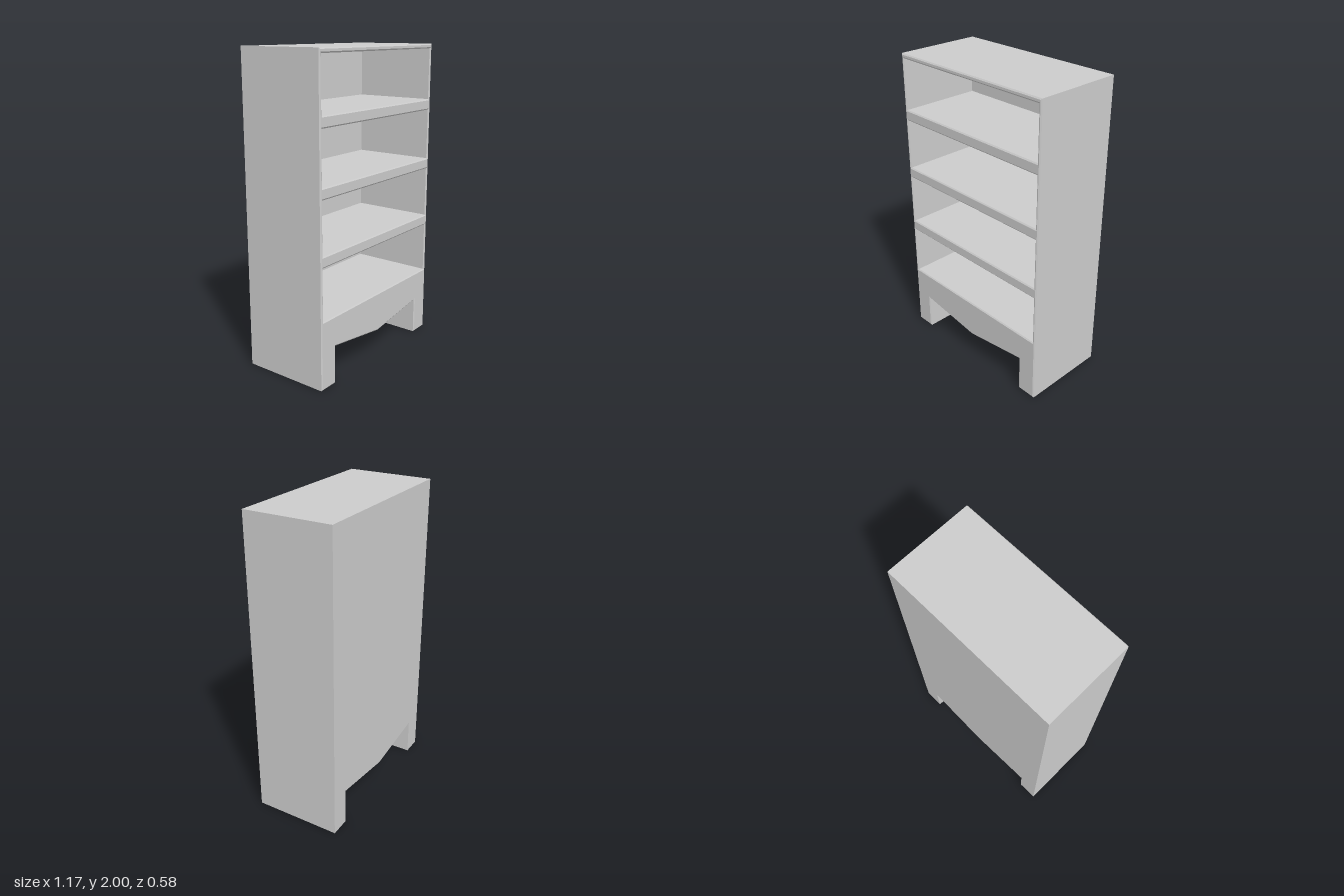
import * as THREE from 'three';

const HALF_W = 0.585, HEIGHT = 2, FRONT = 0.29, BACK = -0.29, PANEL = 0.03;
const BEVEL = 0.008, BEVEL_DEPTH = 0.006;

// Cabinet silhouette with square feet and a pointed apron between them
function outline() {
  return new THREE.Shape([
    [-HALF_W, 0], [-0.452, 0], [-0.452, 0.245], [0, 0.18], [0.452, 0.245],
    [0.452, 0], [HALF_W, 0], [HALF_W, HEIGHT], [-HALF_W, HEIGHT],
  ].map(([x, y]) => new THREE.Vector2(x, y)));
}

// Same silhouette with four shelf openings cut out
function openOutline() {
  const shape = outline();
  const x = 0.565;
  for (let i = 0; i < 4; i++) {
    const y0 = 0.44 + i * 0.4, y1 = y0 + 0.33;
    shape.holes.push(new THREE.Path([
      new THREE.Vector2(-x, y0), new THREE.Vector2(-x, y1),
      new THREE.Vector2(x, y1), new THREE.Vector2(x, y0),
    ]));
  }
  return shape;
}

export function createModel() {
  const group = new THREE.Group();
  group.name = 'bookcase';
  const material = new THREE.MeshStandardMaterial({ color: 0xcccccc, flatShading: true });

  const add = (name, shape, z, options) => {
    const mesh = new THREE.Mesh(new THREE.ExtrudeGeometry(shape, options), material);
    mesh.name = name;
    mesh.position.z = z;
    group.add(mesh);
  };

  // Solid back panel
  add('backPanel', outline(), BACK, { depth: PANEL, bevelEnabled: false });

  // Sides, shelves and feet
  const shelfBack = BACK + PANEL, capDepth = 0.002;
  const capZ = FRONT - BEVEL_DEPTH - capDepth;
  add('shelfBody', openOutline(), shelfBack, { depth: capZ + capDepth / 2 - shelfBack, bevelEnabled: false });

  // Front frame with chamfered edges; its rear chamfer sits inside the body
  add('frontFrame', openOutline(), capZ, {
    depth: capDepth, bevelEnabled: true, bevelSegments: 1,
    bevelThickness: BEVEL_DEPTH, bevelSize: BEVEL, bevelOffset: -BEVEL,
  });

  return group;
}
